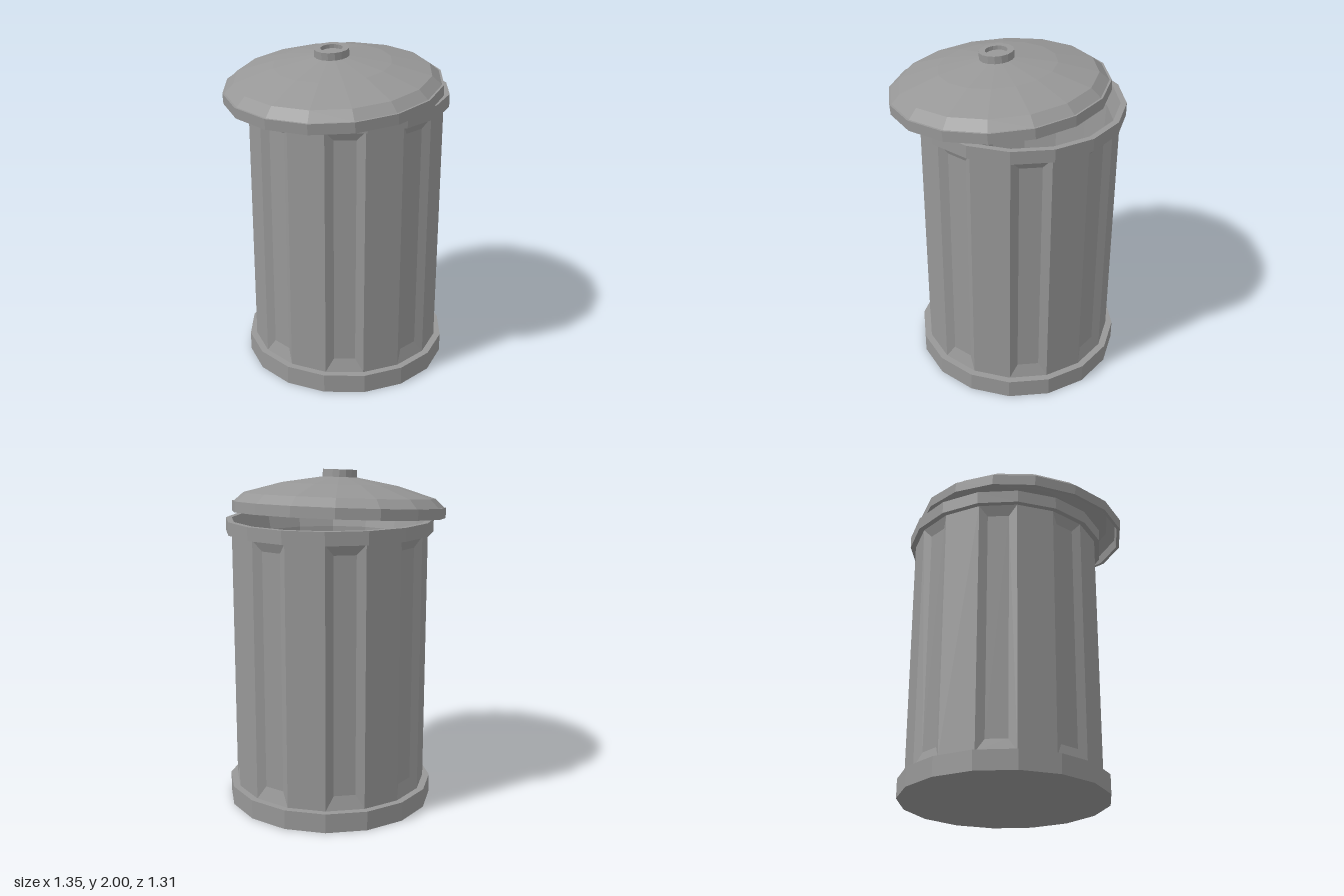
import * as THREE from 'three';

const SIDES = 16;
const STEP = (Math.PI * 2) / SIDES;
const START = THREE.MathUtils.degToRad(9.8);
const material = new THREE.MeshStandardMaterial({ color: 0x979797, flatShading: true });

// Faceted ring turned from [radius, height] pairs
function turned(name, profile) {
  const points = profile.map(([r, y]) => new THREE.Vector2(r, y));
  const mesh = new THREE.Mesh(new THREE.LatheGeometry(points, SIDES, START), material);
  mesh.name = name;
  return mesh;
}

// Sixteen wall panels, every second one pressed inwards with bevelled edges
function flutedWall(radius, bottom, top) {
  const inset = 0.22, depth = 0.024, bevelLow = 0.08, bevelHigh = 0.06;
  const positions = [];
  const quad = (a, b, c, d) => {
    for (const p of [a, b, c, a, c, d]) positions.push(p.x, p.y, p.z);
  };
  const corner = (i, y) => {
    const angle = START + i * STEP;
    return new THREE.Vector3(radius * Math.sin(angle), y, radius * Math.cos(angle));
  };
  for (let i = 0; i < SIDES; i++) {
    const outer = [corner(i, bottom), corner(i + 1, bottom), corner(i + 1, top), corner(i, top)];
    if (i % 2) {
      quad(...outer);
      continue;
    }
    const mid = START + (i + 0.5) * STEP;
    const push = new THREE.Vector3(Math.sin(mid), 0, Math.cos(mid)).multiplyScalar(-depth);
    const pressed = (t, y) => corner(i, y).lerp(corner(i + 1, y), t).add(push);
    const low = bottom + bevelLow, high = top - bevelHigh;
    const inner = [pressed(inset, low), pressed(1 - inset, low), pressed(1 - inset, high), pressed(inset, high)];
    quad(...inner);
    for (let e = 0; e < 4; e++) {
      const n = (e + 1) % 4;
      quad(outer[e], outer[n], inner[n], inner[e]);
    }
  }
  const geometry = new THREE.BufferGeometry();
  geometry.setAttribute('position', new THREE.Float32BufferAttribute(positions, 3));
  geometry.computeVertexNormals();
  const mesh = new THREE.Mesh(geometry, material);
  mesh.name = 'flutedWall';
  return mesh;
}

export function createModel() {
  const model = new THREE.Group();
  model.name = 'trashCan';

  // Can: base band, fluted wall, top rim with the hollow inside
  const can = new THREE.Group();
  can.name = 'can';
  can.position.set(0.064, 0, -0.045);
  can.add(
    turned('baseBand', [[0, 0], [0.621, 0], [0.621, 0.115], [0.56, 0.115]]),
    flutedWall(0.58, 0.115, 1.645),
    turned('rimAndInside', [
      [0.53, 1.645], [0.613, 1.645], [0.613, 1.722], [0.578, 1.722],
      [0.548, 1.6], [0.48, 0.1], [0, 0.1],
    ]),
  );

  // Lid: hollow dome lying askew on the rim
  const lid = new THREE.Group();
  lid.name = 'lid';
  lid.position.set(-0.042, 1.728, 0.02);
  lid.quaternion.setFromUnitVectors(
    new THREE.Vector3(0, 1, 0),
    new THREE.Vector3(-0.07, 1, 0.045).normalize(),
  );
  lid.add(
    turned('lidDome', [
      [0, 0.2], [0.335, 0.16], [0.555, 0.095], [0.61, 0.05], [0.622, 0],
      [0.642, 0], [0.642, 0.062], [0.63, 0.062], [0.575, 0.113], [0.345, 0.18], [0.1, 0.222], [0, 0.222],
    ]),
    turned('lidKnob', [
      [0.102, 0.212], [0.102, 0.266], [0.064, 0.266], [0.064, 0.242], [0, 0.242],
    ]),
  );

  model.add(can, lid);
  return model;
}
